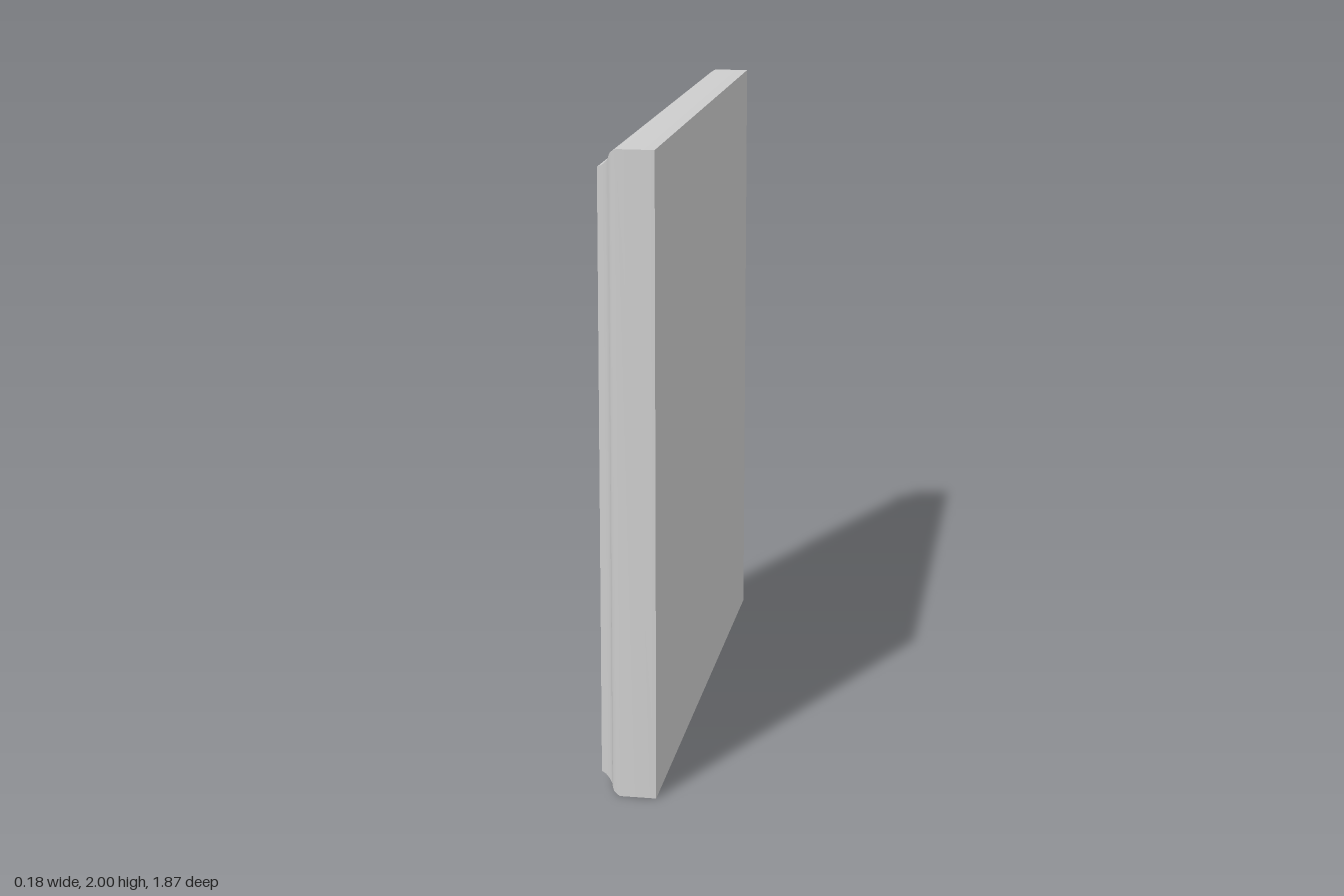
import * as THREE from 'three';
import { toCreasedNormals } from 'three/addons/utils/BufferGeometryUtils.js';

const H = 2, D = 1.87;         // outer height (y) and depth (z)
const BACK = 0.088;            // flat face on the +x side
const INSET = 0.176, FACE = -0.008; // panel border and recessed face
const SIDE = 0.75;             // upright mouldings are narrower than top and bottom

// Moulding cross-section: [inset from outer edge, x]
const profile = [
  [INSET, BACK], [0, BACK],                                    // flat back
  [0, -0.025], [0.004, -0.034], [0.011, -0.044], [0.021, -0.05], // rounded outer edge
  [0.03, -0.053], [0.042, -0.062], [0.053, -0.075], [0.06, -0.09], // outer cove
  [0.09, -0.09], [0.1, -0.082],                                // ridge
  [0.111, -0.065], [0.13, -0.053], [0.153, -0.045], [INSET, -0.04], // inner cove
  [INSET, FACE],                                               // wall down to panel
];

// Rectangle of four corners at one profile point, mitred at the corners
function ring([inset, x]) {
  const z = D / 2 - inset * SIDE, top = H - inset;
  return [[x, inset, -z], [x, inset, z], [x, top, z], [x, top, -z]];
}

function mouldingGeometry() {
  const pos = [];
  for (let i = 0; i < profile.length - 1; i++) {
    const a = ring(profile[i]), b = ring(profile[i + 1]);
    for (let j = 0; j < 4; j++) {
      const k = (j + 1) % 4;
      for (const p of [a[j], a[k], b[k], a[j], b[k], b[j]]) pos.push(...p);
    }
  }
  const geo = new THREE.BufferGeometry();
  geo.setAttribute('position', new THREE.Float32BufferAttribute(pos, 3));
  return toCreasedNormals(geo, 0.55);
}

export function createModel() {
  const group = new THREE.Group();
  group.name = 'framedPanel';
  const material = new THREE.MeshStandardMaterial({ color: 0xcccccc });

  // Mitred moulding around the edge
  const frame = new THREE.Mesh(mouldingGeometry(), material);
  frame.name = 'frameMoulding';

  // Recessed panel filling the frame, flush with its back
  const panel = new THREE.Mesh(
    new THREE.BoxGeometry(BACK - FACE, H - 2 * INSET, D - 2 * INSET * SIDE), material);
  panel.position.set((BACK + FACE) / 2, H / 2, 0);
  panel.name = 'panel';

  group.add(frame, panel);
  return group;
}
